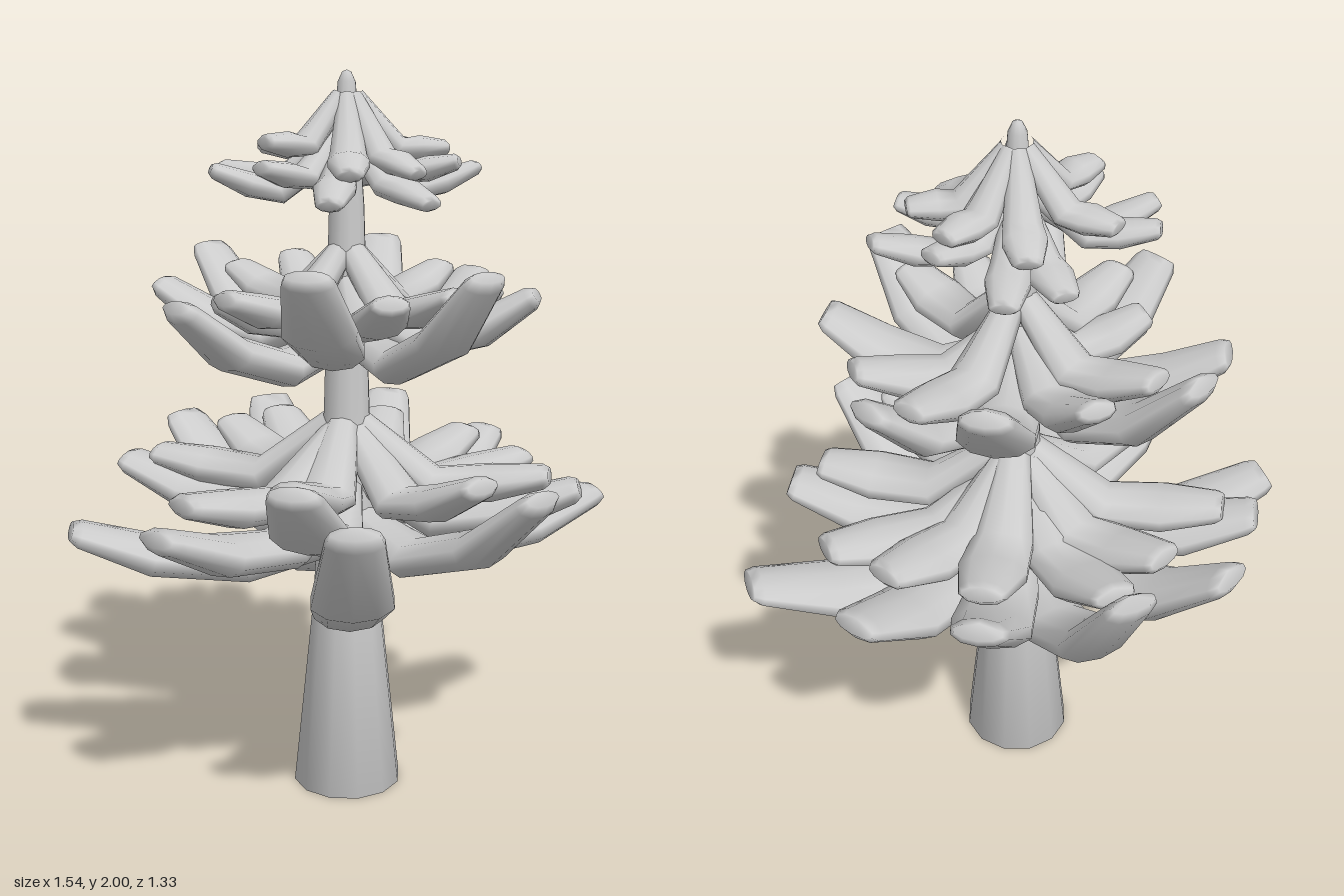
import * as THREE from 'three';

const material = new THREE.MeshStandardMaterial({ color: 0xcccccc });
const SIDES = 10;

// Lofted bough in the x-y plane: path points [reach, height, half width, half thickness]
function boughGeometry(path) {
  const pos = [], index = [];
  path.forEach(([x, y, w, t], i) => {
    const a = path[Math.max(i - 1, 0)], b = path[Math.min(i + 1, path.length - 1)];
    const len = Math.hypot(b[0] - a[0], b[1] - a[1]);
    const nx = -(b[1] - a[1]) / len, ny = (b[0] - a[0]) / len;
    for (let j = 0; j < SIDES; j++) {
      const q = (j / SIDES) * Math.PI * 2;
      const n = Math.cos(q) * t;
      pos.push(x + nx * n, y + ny * n, Math.sin(q) * w);
    }
  });
  for (let i = 0; i < path.length - 1; i++) {
    for (let j = 0; j < SIDES; j++) {
      const k = (j + 1) % SIDES;
      const a = i * SIDES + j, b = i * SIDES + k;
      index.push(a, b, a + SIDES, b, b + SIDES, a + SIDES);
    }
  }
  // Blunt tip
  const last = (path.length - 1) * SIDES;
  for (let j = 1; j < SIDES - 1; j++) index.push(last, last + j, last + j + 1);
  const g = new THREE.BufferGeometry();
  g.setAttribute('position', new THREE.Float32BufferAttribute(pos, 3));
  g.setIndex(index);
  g.computeVertexNormals();
  return g;
}

// A bough leaves the trunk at root, sags to dip and lifts to its tip
function bough([angle, reach, root, dip, tip], width, thick, dipAt) {
  const lift = tip - dip;
  const path = [
    [0.02, root, width * 0.45, thick * 0.85],
    [reach * dipAt, dip, width * 0.9, thick],
    [reach * 0.72, dip + lift * 0.32, width, thick],
    [reach * 0.97, dip + lift * 0.92, width * 0.68, thick * 0.65],
    [reach, tip, width * 0.56, thick * 0.4],
  ];
  const mesh = new THREE.Mesh(boughGeometry(path), material);
  mesh.rotation.y = -THREE.MathUtils.degToRad(angle);
  mesh.name = 'bough';
  return mesh;
}

function tier(name, rows, width, thick, dipAt) {
  const group = new THREE.Group();
  group.name = name;
  for (const row of rows) group.add(bough(row, width, thick, dipAt));
  return group;
}

// Rows: angle, reach, root height, dip height, tip height; four boughs to a whorl
const LOWER = [
  [354, 0.77, 0.73, 0.68, 0.80], [100, 0.67, 0.66, 0.60, 0.95],
  [179, 0.76, 0.73, 0.68, 0.80], [259, 0.64, 0.66, 0.60, 1.01],
  [57, 0.68, 0.80, 0.73, 0.98], [143, 0.70, 0.85, 0.76, 0.89],
  [235, 0.70, 0.80, 0.73, 0.98], [321, 0.69, 0.85, 0.76, 0.92],
  [20, 0.64, 0.92, 0.80, 0.90], [115, 0.56, 0.90, 0.79, 1.01],
  [206, 0.66, 0.92, 0.81, 0.92], [293, 0.68, 0.87, 0.76, 1.01],
];
const LOWER_INNER = [
  [348, 0.57, 1.0, 0.86, 0.91], [24, 0.56, 1.07, 0.90, 0.94],
  [62, 0.53, 1.05, 0.88, 0.99], [118, 0.48, 1.07, 0.90, 0.99],
  [147, 0.58, 1.05, 0.88, 0.94], [207, 0.57, 1.07, 0.90, 0.94],
  [240, 0.53, 1.05, 0.88, 0.98], [260, 0.57, 1.0, 0.86, 0.98],
  [295, 0.52, 1.07, 0.90, 0.98], [325, 0.53, 1.05, 0.88, 0.95],
];
const MIDDLE = [
  [62, 0.53, 1.30, 1.25, 1.51], [151, 0.55, 1.29, 1.24, 1.43],
  [236, 0.57, 1.30, 1.25, 1.51], [328, 0.52, 1.29, 1.24, 1.44],
  [25, 0.51, 1.38, 1.29, 1.43], [113, 0.48, 1.36, 1.29, 1.52],
  [207, 0.54, 1.38, 1.29, 1.43], [293, 0.53, 1.36, 1.29, 1.52],
];
const MIDDLE_INNER = [
  [354, 0.44, 1.45, 1.34, 1.41], [85, 0.38, 1.45, 1.35, 1.44],
  [176, 0.36, 1.45, 1.34, 1.41], [262, 0.47, 1.45, 1.34, 1.48],
  [60, 0.42, 1.53, 1.38, 1.45], [148, 0.42, 1.53, 1.38, 1.44],
  [235, 0.44, 1.53, 1.38, 1.46], [318, 0.47, 1.53, 1.38, 1.45],
];
const CROWN = [
  [355, 0.37, 1.80, 1.69, 1.75], [62, 0.33, 1.83, 1.71, 1.67],
  [180, 0.36, 1.80, 1.69, 1.75], [205, 0.35, 1.84, 1.72, 1.75],
  [265, 0.32, 1.82, 1.71, 1.70], [290, 0.37, 1.83, 1.72, 1.71],
  [110, 0.30, 1.84, 1.72, 1.67], [145, 0.31, 1.85, 1.73, 1.76],
  [325, 0.31, 1.86, 1.74, 1.77], [25, 0.30, 1.86, 1.74, 1.77],
  [5, 0.27, 1.93, 1.80, 1.80], [55, 0.25, 1.93, 1.78, 1.74],
  [100, 0.24, 1.93, 1.78, 1.74], [155, 0.26, 1.93, 1.81, 1.82],
  [228, 0.28, 1.93, 1.80, 1.80], [280, 0.26, 1.93, 1.79, 1.76],
  [325, 0.27, 1.93, 1.80, 1.80],
];

export function createModel() {
  const tree = new THREE.Group();
  tree.name = 'tree';

  // Tapered trunk
  const profile = [[0, 0], [0.155, 0], [0.097, 0.55], [0.064, 1.1], [0.048, 1.65],
    [0.03, 1.9], [0.024, 1.97], [0.012, 1.995], [0, 2]].map(([r, y]) => new THREE.Vector2(r, y));
  const trunk = new THREE.Mesh(new THREE.LatheGeometry(profile, 12), material);
  trunk.name = 'trunk';
  tree.add(trunk);

  // Broad lower tiers below a drooping crown
  tree.add(
    tier('lowerBoughs', LOWER, 0.11, 0.053, 0.38),
    tier('lowerInnerBoughs', LOWER_INNER, 0.095, 0.05, 0.42),
    tier('middleBoughs', MIDDLE, 0.1, 0.05, 0.4),
    tier('middleInnerBoughs', MIDDLE_INNER, 0.08, 0.045, 0.42),
    tier('crownBoughs', CROWN, 0.056, 0.033, 0.5),
  );
  tree.position.set(-0.005, 0, -0.015);
  const model = new THREE.Group();
  model.add(tree);
  return model;
}
